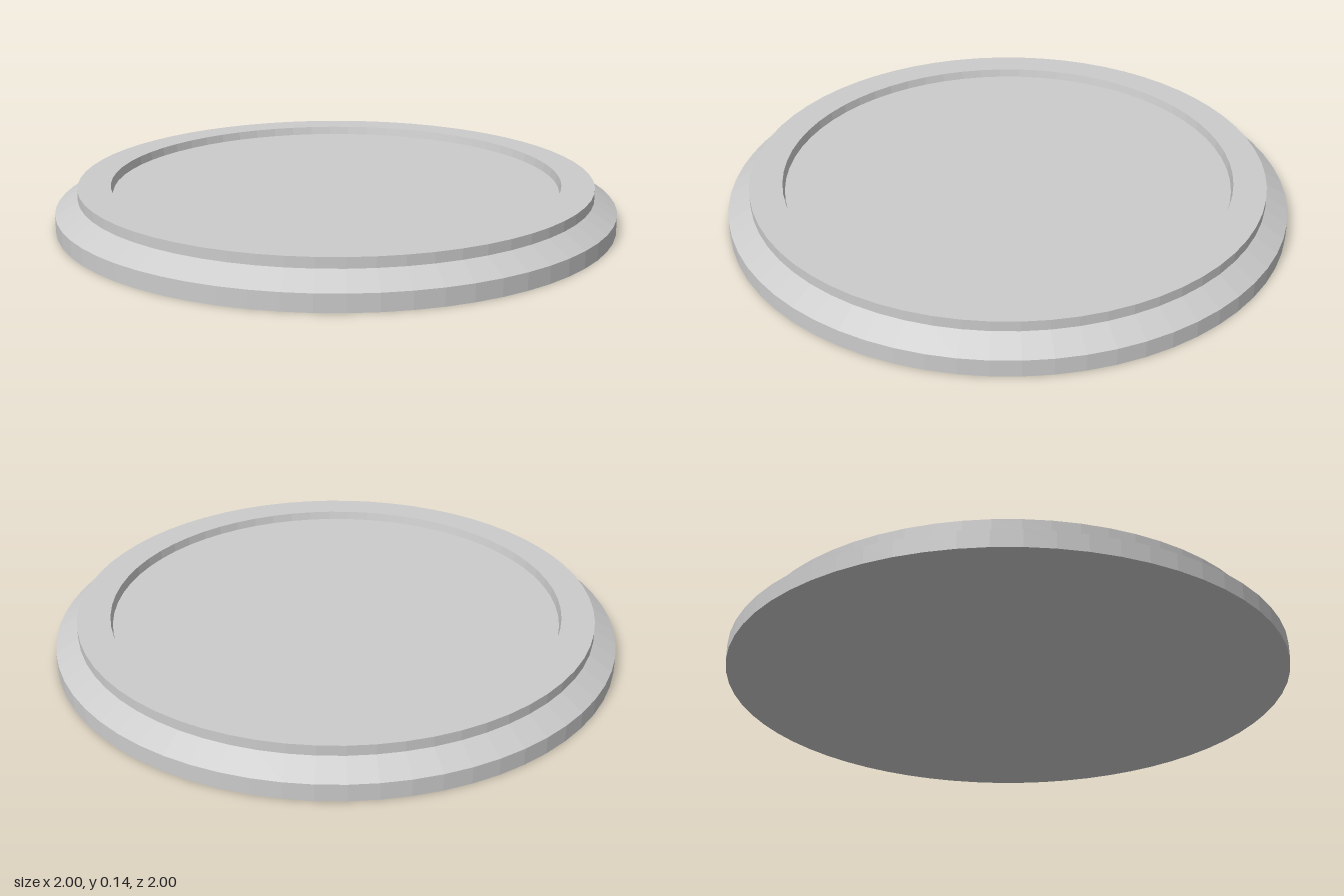
import * as THREE from 'three';

const SEGMENTS = 64;

export function createModel() {
  const group = new THREE.Group();
  group.name = 'roundBase';
  const material = new THREE.MeshStandardMaterial({ color: 0xcccccc, flatShading: true });

  // Turns a profile of [radius, height] points around the y axis
  const turned = (name, profile) => {
    const points = profile.map(([r, y]) => new THREE.Vector2(r, y));
    const mesh = new THREE.Mesh(new THREE.LatheGeometry(points, SEGMENTS), material);
    mesh.name = name;
    group.add(mesh);
  };

  // Underside, foot wall and sloped shoulder
  turned('foot', [[0, 0], [1, 0], [1, 0.06], [0.92, 0.108]]);
  // Raised lip with its slightly tapered inner wall
  turned('rim', [[0.92, 0.108], [0.92, 0.144], [0.804, 0.144], [0.798, 0.114]]);
  // Sunken floor
  turned('recessFloor', [[0.798, 0.114], [0, 0.114]]);

  return group;
}
